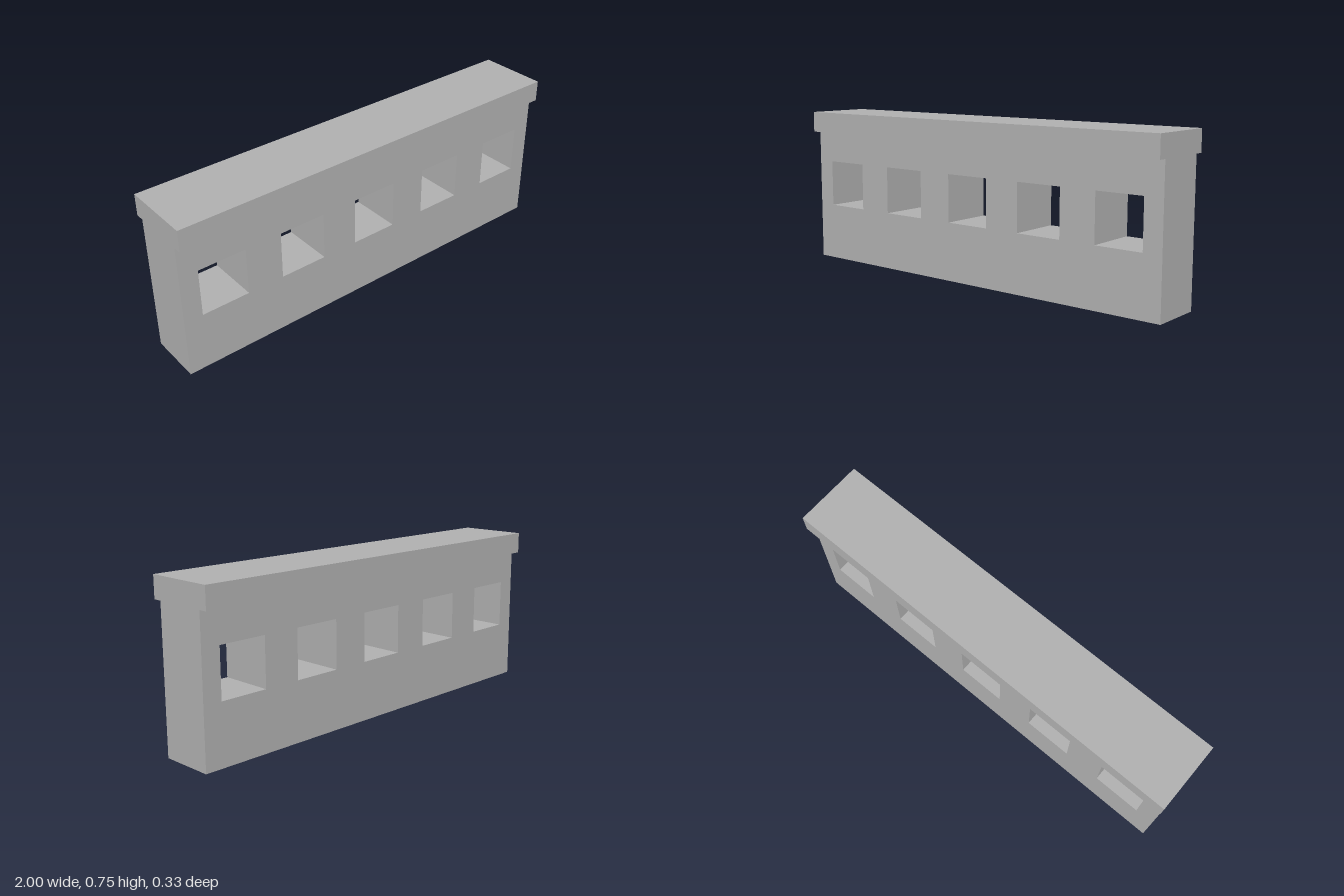
import * as THREE from 'three';

const LENGTH = 2, WALL_H = 0.65, WALL_D = 0.25;
const CAP_H = 0.1, CAP_D = 0.33;
const HOLE = 0.225, HOLE_Y = 0.275, HOLE_STEP = 0.4;

// Closed rectangle from its lower left corner
function rect(path, x, y, w, h) {
  path.moveTo(x, y);
  path.lineTo(x + w, y);
  path.lineTo(x + w, y + h);
  path.lineTo(x, y + h);
  path.closePath();
  return path;
}

export function createModel() {
  const group = new THREE.Group();
  group.name = 'parapetWall';
  const stone = new THREE.MeshStandardMaterial({ color: 0xb0b0b0 });
  stone.name = 'grey stone';

  // Wall pierced by five square openings
  const outline = rect(new THREE.Shape(), -LENGTH / 2, 0, LENGTH, WALL_H);
  for (let i = -2; i <= 2; i++) {
    outline.holes.push(rect(new THREE.Path(), i * HOLE_STEP - HOLE / 2, HOLE_Y, HOLE, HOLE));
  }
  const wallGeometry = new THREE.ExtrudeGeometry(outline, { depth: WALL_D, bevelEnabled: false });
  wallGeometry.translate(0, 0, -WALL_D / 2);
  const wall = new THREE.Mesh(wallGeometry, stone);
  wall.name = 'wall';

  // Overhanging coping along the top
  const coping = new THREE.Mesh(new THREE.BoxGeometry(LENGTH, CAP_H, CAP_D), stone);
  coping.position.y = WALL_H + CAP_H / 2;
  coping.name = 'coping';

  group.add(wall, coping);
  return group;
}
